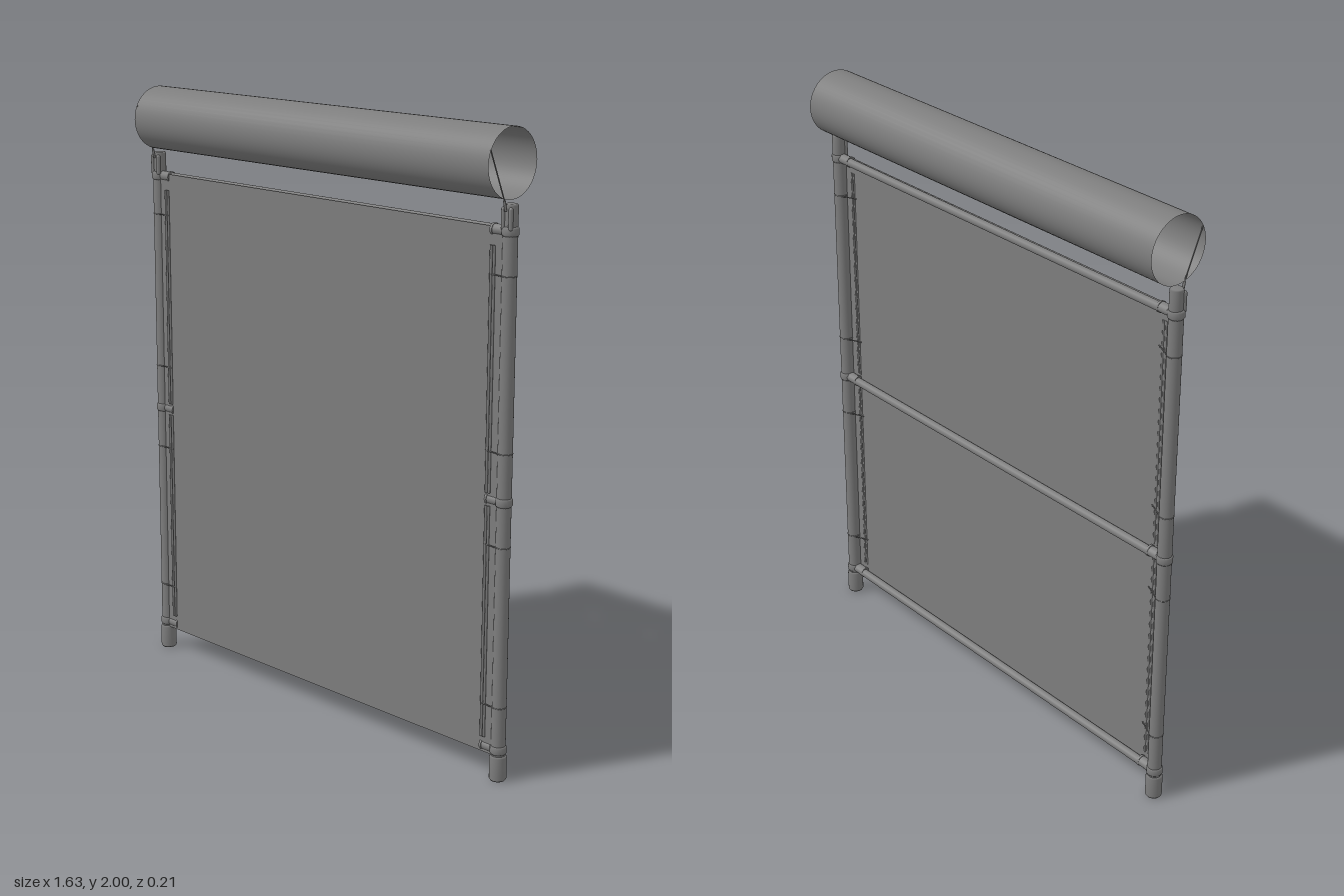
import * as THREE from 'three';

export function createModel() {
  const model = new THREE.Group();
  const mat = new THREE.MeshStandardMaterial({ color: 0x7d7d7d });
  const sheet = new THREE.MeshStandardMaterial({ color: 0x7d7d7d, side: THREE.DoubleSide });

  const add = (name, geo, x, y, z, parent = model, m = mat) => {
    const mesh = new THREE.Mesh(geo, m);
    mesh.name = name;
    mesh.position.set(x, y, z);
    parent.add(mesh);
    return mesh;
  };
  // Straight rod between two points
  const rod = (name, a, b, r, parent = model, sides = 16) => {
    const p = new THREE.Vector3(...a), q = new THREE.Vector3(...b);
    const d = q.clone().sub(p);
    const mesh = add(name, new THREE.CylinderGeometry(r, r, d.length(), sides), 0, 0, 0, parent);
    mesh.position.copy(p).add(q).multiplyScalar(0.5);
    mesh.quaternion.setFromUnitVectors(new THREE.Vector3(0, 1, 0), d.normalize());
    return mesh;
  };

  const railHeights = [0.1, 0.89, 1.7];
  const tieHeights = [0.24, 0.75, 1.04, 1.57];

  // Flat screen in front of the rails
  add('screenPanel', new THREE.PlaneGeometry(1.54, 1.63), 0, 0.895, 0.014, model, sheet);

  // Horizontal rails
  for (const y of railHeights) rod('rail', [-0.78, y, -0.002], [0.78, y, -0.002], 0.014);

  // Open roll above the frame
  const roll = add('topRoll', new THREE.CylinderGeometry(0.105, 0.105, 1.575, 48, 1, true),
    -0.002, 1.895, -0.003, model, sheet);
  roll.rotation.z = Math.PI / 2;

  // Rounded sleeve used for feet, collars and post tops
  const sleeve = (r, h) => new THREE.LatheGeometry([
    [0, -h / 2], [r * 0.85, -h / 2], [r, -h / 2 + r * 0.2],
    [r, h / 2 - r * 0.2], [r * 0.85, h / 2], [0, h / 2],
  ].map(p => new THREE.Vector2(...p)), 20);

  for (const s of [-1, 1]) {
    const side = new THREE.Group();
    side.name = s > 0 ? 'leftSide' : 'rightSide';
    model.add(side);
    const x = s * 0.786;

    // Post and foot
    rod('post', [x, 0.05, 0.002], [x, 1.71, 0.002], 0.0225, side, 24);
    add('foot', sleeve(0.027, 0.082), x, 0.041, 0.002, side);

    // Tee joints where the rails meet the post
    for (const y of railHeights) {
      add('jointCollar', sleeve(0.026, 0.028), x, y, 0.002, side);
      rod('jointSocket', [x, y, 0.002], [s * 0.722, y, 0.002], 0.0165, side);
      rod('socketLip', [s * 0.73, y, 0.002], [s * 0.722, y, 0.002], 0.0185, side);
    }

    // Slim edge battens clamping the screen
    for (const [y0, y1] of [[0.13, 0.87], [0.91, 1.655]]) {
      for (const bx of [0.727, 0.738]) {
        rod('edgeBatten', [s * bx, y0, 0.016], [s * bx, y1, 0.016], 0.0045, side, 8);
      }
    }

    // Ties wrapping the post and reaching the screen edge
    for (const y of tieHeights) {
      const ring = add('tieRing', new THREE.TorusGeometry(0.0225, 0.0015, 6, 24), x, y, 0.002, side);
      ring.rotation.x = Math.PI / 2;
      rod('tieFront', [x, y, 0.0235], [s * 0.722, y, 0.017], 0.002, side, 6);
      rod('tieBack', [x, y, -0.0205], [s * 0.715, y, 0.012], 0.002, side, 6);
    }

    // Rounded post top with a forked clip on its front
    add('postTop', sleeve(0.021, 0.075), x, 1.742, 0, side);
    for (const dx of [-0.014, 0.014]) {
      add('clipProng', new THREE.CapsuleGeometry(0.007, 0.055, 4, 10), x + dx, 1.737, 0.018, side);
    }

    // Thin leaning arm at the roll end
    rod('rollArm', [s * 0.785, 1.76, 0.024], [s * 0.785, 1.79, 0.03], 0.004, side, 8);
    rod('rollArm', [s * 0.785, 1.79, 0.03], [s * 0.785, 1.94, 0.093], 0.002, side, 8);
  }
  return model;
}
